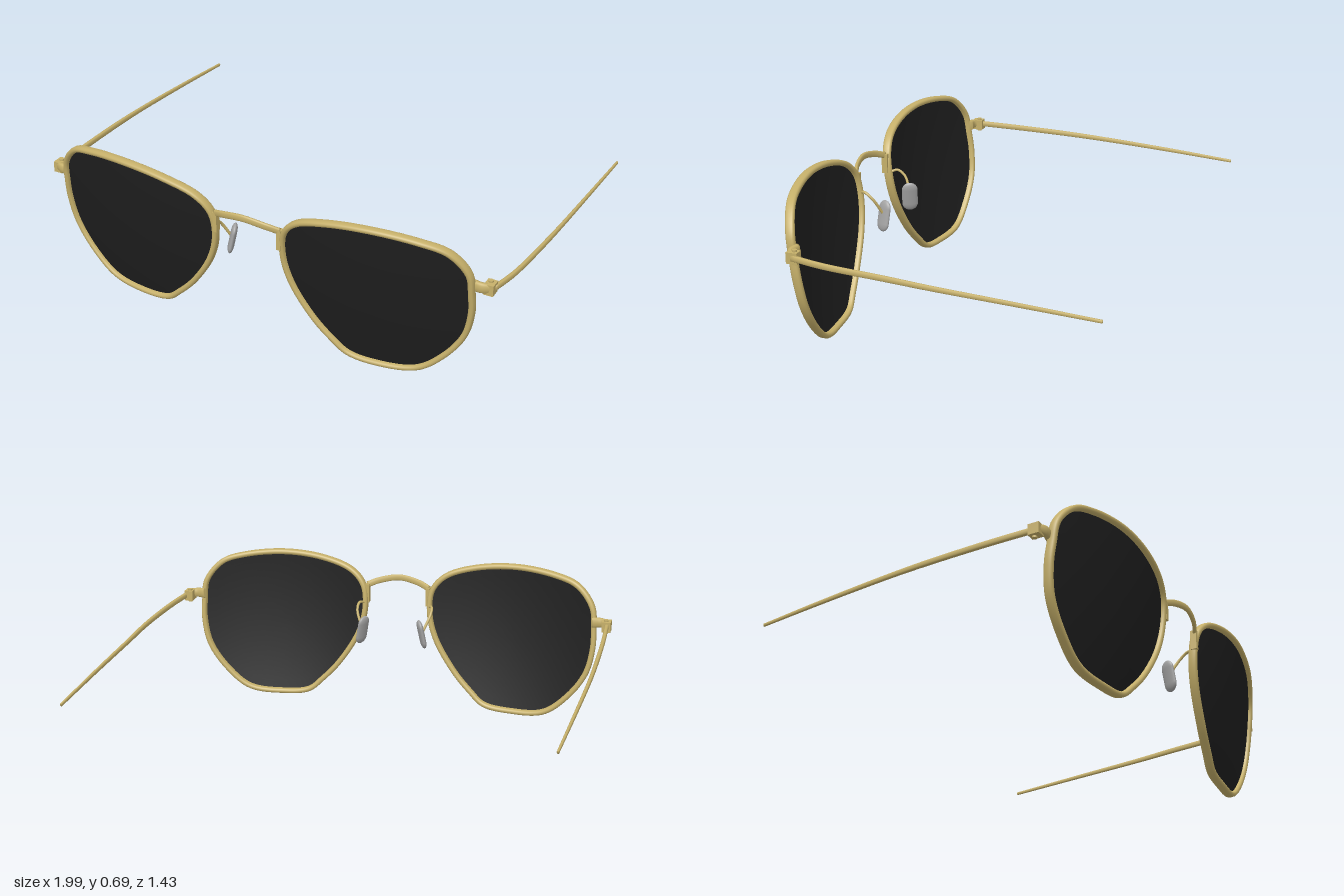
import * as THREE from 'three';

const V = (x, y, z) => new THREE.Vector3(x, y, z);
const X = V(1, 0, 0), Z = V(0, 0, 1);

// Lens outline of one side (x outward from the nose, y up)
const OUTLINE = [
  [.904, .45], [.893, .546], [.823, .631], [.717, .664], [.529, .68], [.342, .66],
  [.209, .615], [.15, .55], [.139, .443], [.171, .32], [.262, .172], [.342, .085],
  [.406, .032], [.53, .016], [.69, .035], [.797, .122], [.877, .241], [.904, .36],
];
const CX = .52, CY = .35;

// Curved, tilted face on which lenses and rims lie
const faceZ = (x, y) =>
  .66 + .145 * (y - CY) - .36 * (x - .38) ** 2 - .15 * (y - CY) ** 2;

// Sweeps a rounded section along a curve; size(t) gives [across, along ref] half sizes
function sweep(curve, ref, size, steps, closed = false, sides = 12) {
  const pos = [], idx = [];
  const rows = closed ? steps : steps + 1;
  for (let i = 0; i < rows; i++) {
    const t = i / steps, p = curve.getPoint(t), d = curve.getTangent(t);
    const n = d.clone().cross(ref).normalize(), b = d.clone().cross(n);
    const [h, w] = size(t);
    for (let j = 0; j < sides; j++) {
      const a = (j / sides) * Math.PI * 2, c = Math.cos(a), s = Math.sin(a);
      const q = p.clone()
        .addScaledVector(n, h * Math.sign(c) * Math.abs(c) ** .75)
        .addScaledVector(b, w * Math.sign(s) * Math.abs(s) ** .75);
      pos.push(q.x, q.y, q.z);
    }
  }
  const at = (i, j) => (i % rows) * sides + (j % sides);
  for (let i = 0; i < (closed ? rows : rows - 1); i++)
    for (let j = 0; j < sides; j++)
      idx.push(at(i, j), at(i, j + 1), at(i + 1, j + 1),
        at(i, j), at(i + 1, j + 1), at(i + 1, j));
  if (!closed)
    for (let j = 1; j < sides - 1; j++) {
      idx.push(at(0, 0), at(0, j + 1), at(0, j));
      idx.push(at(rows - 1, 0), at(rows - 1, j), at(rows - 1, j + 1));
    }
  const g = new THREE.BufferGeometry();
  g.setAttribute('position', new THREE.Float32BufferAttribute(pos, 3));
  g.setIndex(idx);
  g.computeVertexNormals();
  return g;
}

// Lens surface: concentric rings of the outline laid on the curved face
function lensGeometry(s, curve) {
  const rings = 8, n = 96, pos = [s * CX, CY, faceZ(CX, CY)], idx = [];
  for (let r = 1; r <= rings; r++)
    for (let i = 0; i < n; i++) {
      const p = curve.getPoint(i / n), k = r / rings;
      const x = CX + (s * p.x - CX) * k, y = CY + (p.y - CY) * k;
      pos.push(s * x, y, faceZ(x, y));
    }
  const at = (r, i) => 1 + (r - 1) * n + (i % n);
  const tri = (a, b, c) => (s > 0 ? idx.push(a, b, c) : idx.push(a, c, b));
  for (let i = 0; i < n; i++) {
    tri(0, at(1, i), at(1, i + 1));
    for (let r = 1; r < rings; r++) {
      tri(at(r, i), at(r + 1, i), at(r + 1, i + 1));
      tri(at(r, i), at(r + 1, i + 1), at(r, i + 1));
    }
  }
  const g = new THREE.BufferGeometry();
  g.setAttribute('position', new THREE.Float32BufferAttribute(pos, 3));
  g.setIndex(idx);
  g.computeVertexNormals();
  return g;
}

export function createModel() {
  const material = (name, color, extra = {}) => {
    const m = new THREE.MeshStandardMaterial({ color, ...extra });
    m.name = name;
    return m;
  };
  const gold = material('gold metal', 0xc6b06a);
  const dark = material('dark lens', 0x1e1e1e, { side: THREE.DoubleSide });
  const grey = material('grey pad', 0xa4a4a4);

  const model = new THREE.Group();
  model.name = 'sunglasses';
  // The front rests slightly turned and leaning
  const front = new THREE.Group();
  front.name = 'front';
  front.position.x = -.032;
  front.rotation.set(0, .021, -.016);
  model.add(front);

  const add = (parent, name, geometry, mat) => {
    const m = new THREE.Mesh(geometry, mat);
    m.name = name;
    parent.add(m);
    return m;
  };
  const path = (pts, closed = false) => new THREE.CatmullRomCurve3(pts, closed);

  for (const s of [1, -1]) {
    const side = s > 0 ? 'left' : 'right';

    // Rim and lens
    const outline = path(OUTLINE.map(([px, py]) => {
      const x = CX + (px - CX) * .972, y = CY + (py - CY) * .97;
      return V(s * x, y, faceZ(x, y));
    }), true);
    add(front, side + 'Rim', sweep(outline, Z, () => [.012, .019], 120, true), gold);
    add(front, side + 'Lens', lensGeometry(s, outline), dark);

    // Lug reaching round to the hinge
    const lug = path([V(s * .885, .482, .563), V(s * .925, .482, .568), V(s * .955, .48, .553)]);
    add(front, side + 'Lug', sweep(lug, Z, t => [.023 - .004 * t, .014], 12), gold);
    add(front, side + 'HingeBlock', new THREE.BoxGeometry(.038, .045, .046), gold)
      .position.set(s * .952, .477, .545);
    add(front, side + 'HingeScrew', new THREE.CylinderGeometry(.01, .01, .06, 12), gold)
      .position.set(s * .95, .477, .54);

    // Bridge mount on the inner rim
    add(front, side + 'BridgeMount', new THREE.BoxGeometry(.018, .085, .026), gold)
      .position.set(s * .14, .508, .665);

    // Nose pad and its wire arm
    const arm = path([V(s * .145, .465, .65), V(s * .166, .475, .62),
      V(s * .168, .45, .585), V(s * .142, .385, .553)]);
    add(front, side + 'PadArm', new THREE.TubeGeometry(arm, 20, .006, 8), gold);
    const pad = add(front, side + 'NosePad', new THREE.CapsuleGeometry(.034, .066, 8, 20), grey);
    pad.scale.x = .38;
    pad.position.set(s * .136, .37, .55);
    pad.rotation.set(0, -.45 * s, .2 * s);
  }

  // Arched bridge
  const bridge = path([V(-.142, .545, .668), V(-.09, .563, .688), V(0, .578, .7),
    V(.09, .563, .688), V(.142, .545, .668)]);
  add(front, 'bridge', sweep(bridge, Z, () => [.014, .008], 32), gold);

  // Temples, each opened to its own angle
  const temples = {
    left: [V(.952, .462, .525), V(.974, .455, .38), V(.987, .447, .13),
      V(.988, .436, -.05), V(.987, .42, -.38), V(.984, .402, -.71)],
    right: [V(-.966, .495, .56), V(-.978, .49, .38), V(-.987, .482, .13),
      V(-.989, .474, -.05), V(-.983, .456, -.38), V(-.975, .437, -.67)],
  };
  for (const [side, pts] of Object.entries(temples))
    add(model, side + 'Temple',
      sweep(path(pts), X, t => [.0125 - .006 * t * t, .009 - .004 * t * t], 40), gold);

  return model;
}
